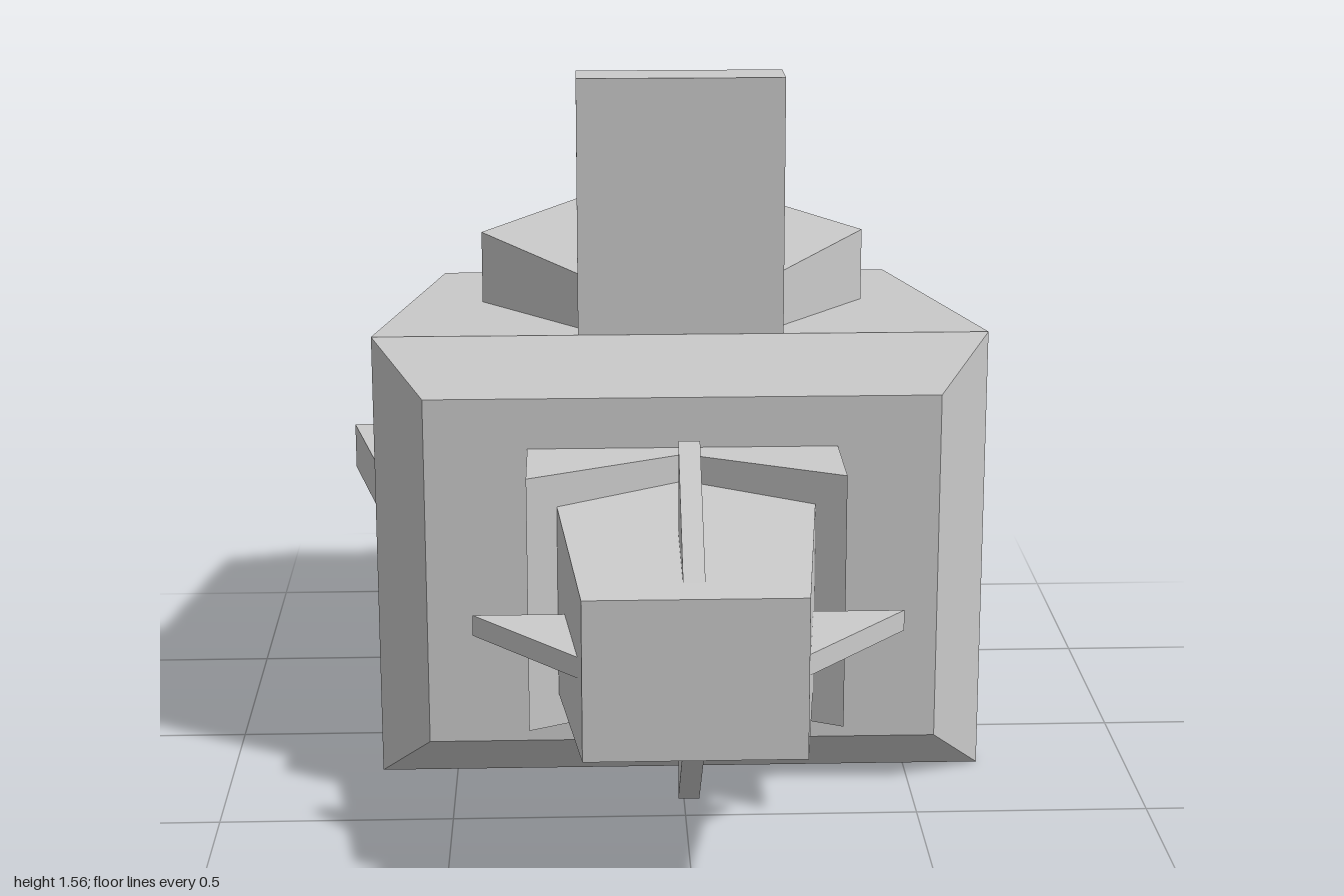
import * as THREE from 'three';

const material = new THREE.MeshStandardMaterial({ color: 0xcccccc, flatShading: true });

function part(name, geometry) {
  const mesh = new THREE.Mesh(geometry, material);
  mesh.name = name;
  return mesh;
}

// Solid through rectangular sections [z, halfWidth, halfHeight], back to front, centred on y = 0.5
function loft(sections) {
  const positions = [];
  const rings = sections.map(([z, w, h]) =>
    [[-w, 0.5 - h, z], [w, 0.5 - h, z], [w, 0.5 + h, z], [-w, 0.5 + h, z]]);
  const quad = (a, b, c, d) => [a, b, c, a, c, d].forEach((p) => positions.push(...p));
  for (let i = 0; i < rings.length - 1; i++) {
    for (let j = 0; j < 4; j++) {
      const k = (j + 1) % 4;
      quad(rings[i][j], rings[i][k], rings[i + 1][k], rings[i + 1][j]);
    }
  }
  quad(...[...rings[0]].reverse());
  quad(...rings[rings.length - 1]);
  const geometry = new THREE.BufferGeometry();
  geometry.setAttribute('position', new THREE.Float32BufferAttribute(positions, 3));
  geometry.computeVertexNormals();
  return geometry;
}

// Upright prism from an [x, z] plan between two heights
function prism(plan, bottom, top) {
  const shape = new THREE.Shape(plan.map(([x, z]) => new THREE.Vector2(x, z)));
  return new THREE.ExtrudeGeometry(shape, { depth: top - bottom, bevelEnabled: false })
    .rotateX(Math.PI / 2)
    .translate(0, top, 0);
}

export function createModel() {
  const model = new THREE.Group();
  model.name = 'model';

  // Tapered body with chamfered ends
  model.add(part('body', loft([
    [-1, 0.444, 0.278], [-0.889, 0.555, 0.389], [0.222, 0.667, 0.5], [0.333, 0.555, 0.389],
  ])));

  // Collar with a V-shaped front, and the snout set into it
  model.add(part('collar', prism(
    [[-0.333, 0.3], [0.333, 0.3], [0.333, 0.555], [0, 0.385], [-0.333, 0.555]], 0.222, 0.778)));
  model.add(part('snout', loft([[0.3, 0.292, 0.226], [1, 0.222, 0.167]])));

  // Four triangular fins around the snout
  for (let i = 0; i < 4; i++) {
    const radius = i % 2 ? 0.167 : 0.222;
    const fin = part('snoutFin', prism(
      [[radius - 0.03, 0.965], [radius + 0.222, 0.667], [radius - 0.03, 0.667]], -0.022, 0.022));
    fin.position.y = 0.5;
    fin.rotation.z = i * Math.PI / 2;
    model.add(fin);
  }

  // Wedge wings on both sides
  for (const side of [-1, 1]) {
    model.add(part(side > 0 ? 'leftWing' : 'rightWing', prism(
      [[side * 0.777, -0.667], [side * 0.62, 0.055], [side * 0.54, -0.667]], 0.445, 0.555)));
  }

  // Hexagonal seat with an upright slab in front
  model.add(part('hexagonalSeat', prism(
    [[-0.222, -0.725], [0.222, -0.725], [0.444, -0.333], [0.222, 0.111], [-0.222, 0.111], [-0.444, -0.333]],
    0.88, 1.111)));
  const slab = part('uprightSlab', new THREE.BoxGeometry(0.444, 0.6, 0.111));
  slab.position.set(0, 1.256, 0.166);
  model.add(slab);

  return model;
}
